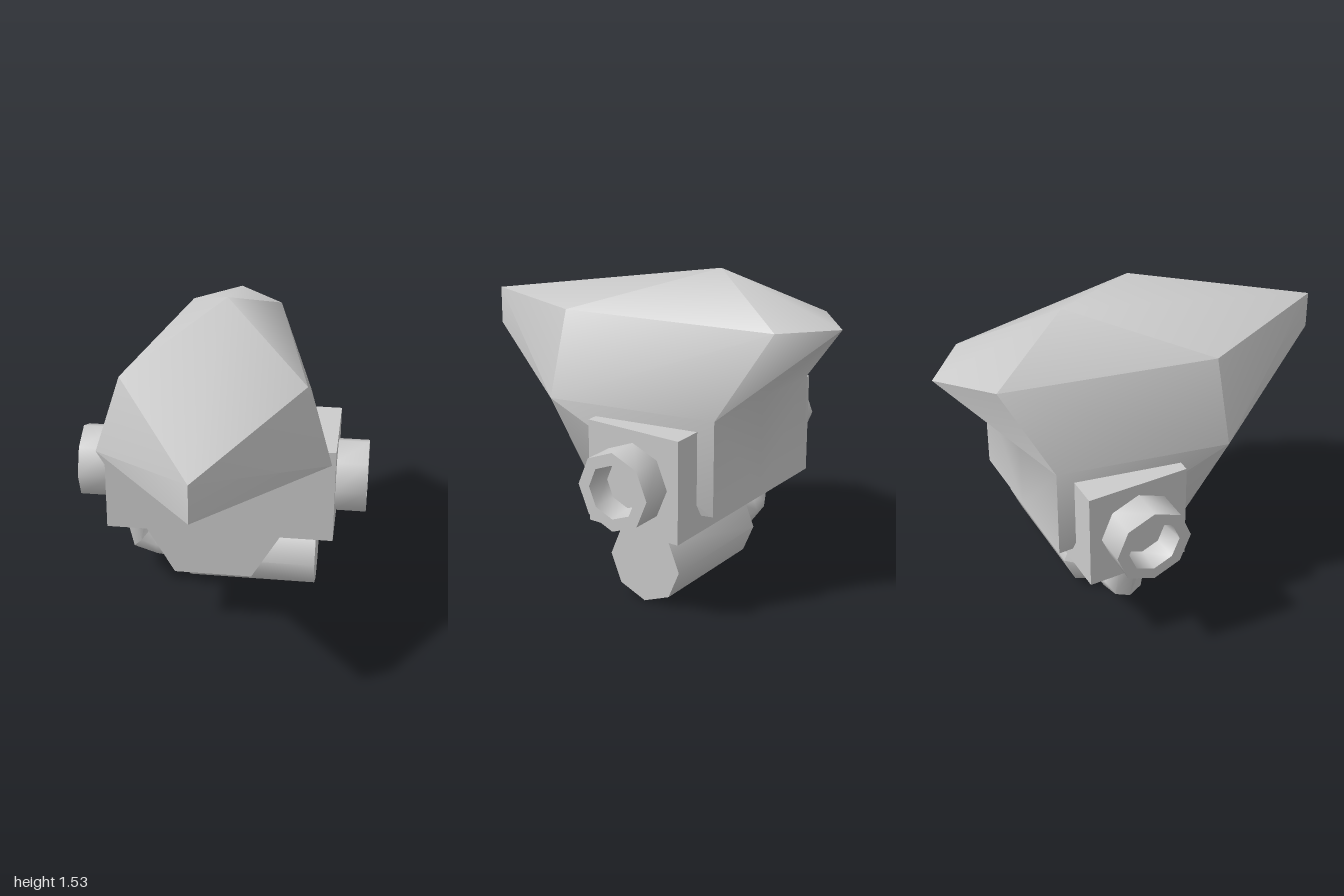
import * as THREE from 'three';
import { toCreasedNormals } from 'three/addons/utils/BufferGeometryUtils.js';

const material = new THREE.MeshStandardMaterial({ color: 0xcccccc });
const CREASE = 0.85;
const AXIS_Z = -0.27;

function addMesh(parent, name, geometry) {
  const mesh = new THREE.Mesh(geometry, material);
  mesh.name = name;
  parent.add(mesh);
  return mesh;
}

function fromTriangles(triangles, crease) {
  const geometry = new THREE.BufferGeometry().setFromPoints(triangles.flat());
  return toCreasedNormals(geometry, crease);
}

// Faceted head shell: corners of the +x half, mirrored
function headGeometry() {
  const p = {
    tip: [0, 1.24, 1], tipLow: [0, 1.05, 1], peak: [0, 1.535, -0.36], apex: [0, 1.345, -1],
    brow: [0, 0.66, 0.21], shoulder: [0.44, 1.345, 0.21], cheek: [0.565, 0.945, 0.21],
    chin: [0.19, 0.295, 0.21], chinMid: [0, 0.295, 0.21],
    upper: [0.23, 1.345, -0.79], rear: [0.41, 0.95, -0.6], rearMid: [0, 0.95, -0.6],
    foot: [0.41, 0.49, -0.6], footMid: [0, 0.49, -0.6],
  };
  const faces = [
    // roof
    'tip shoulder peak', 'shoulder upper peak', 'upper apex peak',
    // sides
    'tip tipLow cheek', 'tip cheek shoulder', 'shoulder cheek upper', 'cheek rear upper',
    'cheek foot rear', 'cheek chin foot',
    // visor underside and chin
    'tipLow brow cheek', 'brow chin cheek', 'brow chinMid chin',
    // back overhang, back wall and bottom
    'rear apex upper', 'rear rearMid apex', 'rear foot footMid', 'rear footMid rearMid',
    'chin chinMid footMid', 'chin footMid foot',
  ];
  const core = new THREE.Vector3(0, 0.9, -0.2);
  const triangles = [];
  for (const side of [1, -1]) {
    for (const face of faces) {
      const [a, b, c] = face.split(' ').map((key) => {
        const [x, y, z] = p[key];
        return new THREE.Vector3(x * side, y, z);
      });
      // wind every face away from the core
      const normal = b.clone().sub(a).cross(c.clone().sub(a));
      const outward = normal.dot(a.clone().sub(core)) > 0;
      triangles.push(outward ? [a, b, c] : [a, c, b]);
    }
  }
  return fromTriangles(triangles, CREASE);
}

// Eight-sided canister narrowing into a bent pipe
function canisterGeometry() {
  // each ring: inner x, y, outer x, y, half depth
  const rings = [
    [0.485, 0.395, 0.485, 0.005, 0.195],
    [-0.165, 0.395, -0.165, 0.005, 0.195],
    [-0.24, 0.29, -0.24, 0.09, 0.1],
    [-0.36, 0.29, -0.35, 0.105, 0.098],
    [-0.367, 0.3, -0.49, 0.15, 0.098],
    [-0.37, 0.42, -0.555, 0.42, 0.095],
  ].map(([ix, iy, ox, oy, depth]) => Array.from({ length: 8 }, (_, k) => {
    const angle = (k * Math.PI) / 4;
    const c = Math.cos(angle) / 2;
    return new THREE.Vector3(
      (ix + ox) / 2 + (ix - ox) * c,
      (iy + oy) / 2 + (iy - oy) * c,
      AXIS_Z + depth * Math.sin(angle));
  }));
  const triangles = [];
  const capCentre = new THREE.Vector3(0.485, 0.2, AXIS_Z);
  for (let k = 0; k < 8; k++) {
    const n = (k + 1) % 8;
    triangles.push([capCentre, rings[0][k], rings[0][n]]);
    for (let i = 0; i + 1 < rings.length; i++) {
      const [near, far] = [rings[i], rings[i + 1]];
      triangles.push([near[k], far[k], near[n]], [near[n], far[k], far[n]]);
    }
  }
  return fromTriangles(triangles, 0.95);
}

// Octagonal side socket with a tapering recess
function socketGeometry() {
  const profile = [[0.19, 0], [0.19, 0.165], [0.13, 0.165], [0.115, 0.05], [0, 0.05]];
  const lathe = new THREE.LatheGeometry(profile.map(([r, h]) => new THREE.Vector2(r, h)), 8);
  return toCreasedNormals(lathe, CREASE);
}

export function createModel() {
  const model = new THREE.Group();
  model.name = 'helmetHead';

  addMesh(model, 'headShell', headGeometry());

  // Cross block through the jaw
  const block = addMesh(model, 'earBlock', new THREE.BoxGeometry(1.15, 0.5, 0.5));
  block.position.set(0, 0.64, AXIS_Z);

  // Sockets on both ends of the block
  const socket = socketGeometry();
  for (const side of [1, -1]) {
    const mesh = addMesh(model, side > 0 ? 'leftSocket' : 'rightSocket', socket);
    mesh.position.set(side * 0.565, 0.64, AXIS_Z);
    mesh.rotation.z = (-side * Math.PI) / 2;
  }

  addMesh(model, 'canisterAndPipe', canisterGeometry());
  return model;
}
